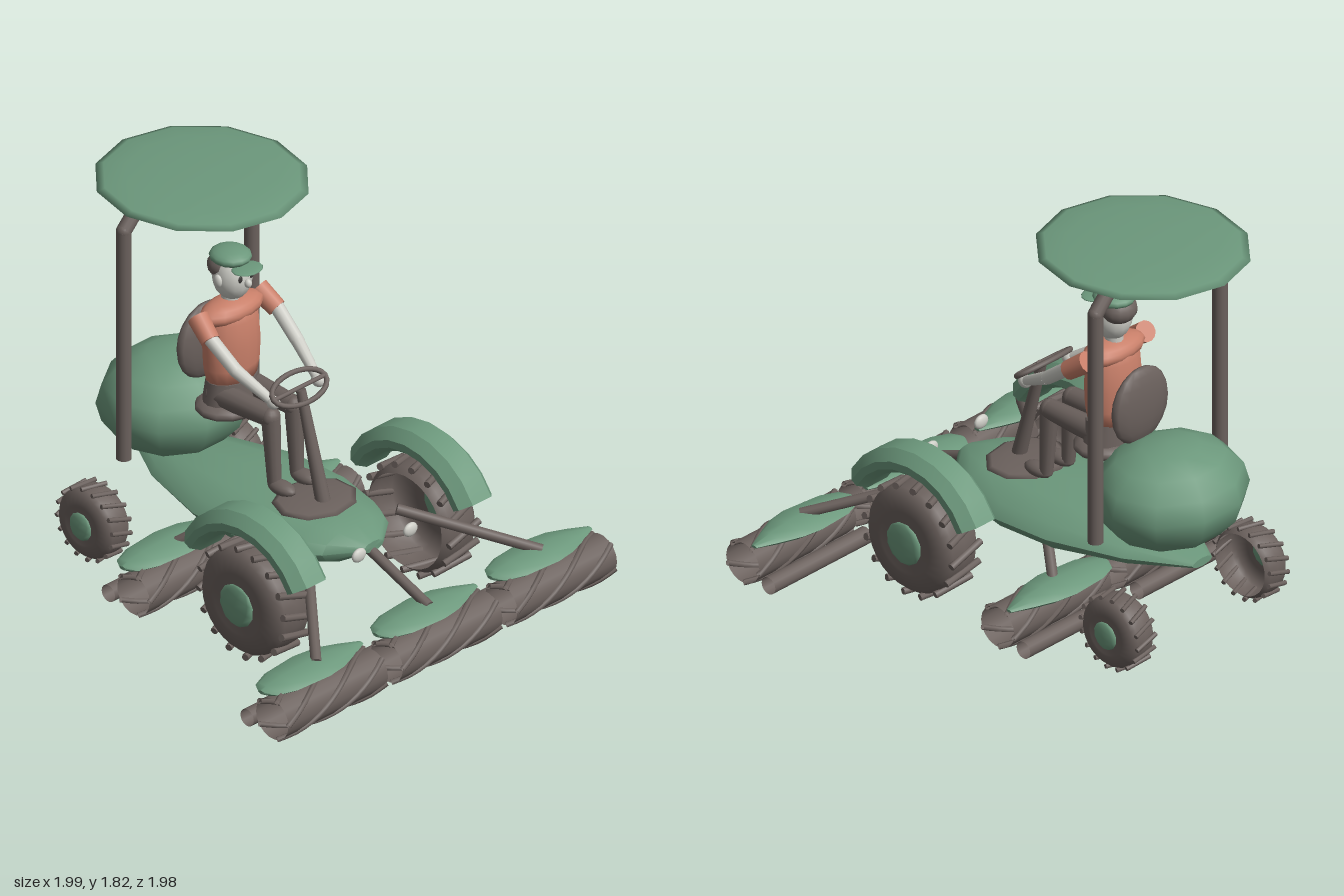
import * as THREE from 'three';
import { toCreasedNormals } from 'three/addons/utils/BufferGeometryUtils.js';

const paint = (name, color, side = THREE.FrontSide) => {
  const m = new THREE.MeshStandardMaterial({ color, side });
  m.name = name;
  return m;
};
const V = (x, y, z) => new THREE.Vector3(x, y, z);
const UP = V(0, 1, 0);

// Closed skin over rings of points, with a fan at each end
function skin(rings, crease = 0.8) {
  const n = rings[0].length, pos = [], idx = [];
  rings.flat().forEach(p => pos.push(p.x, p.y, p.z));
  for (let i = 0; i < rings.length - 1; i++) {
    for (let j = 0; j < n; j++) {
      const a = i * n + j, b = i * n + (j + 1) % n;
      idx.push(a, a + n, b, b, a + n, b + n);
    }
  }
  [0, rings.length - 1].forEach((r, end) => {
    const c = V(0, 0, 0);
    rings[r].forEach(p => c.addScaledVector(p, 1 / n));
    const k = pos.length / 3;
    pos.push(c.x, c.y, c.z);
    for (let j = 0; j < n; j++) {
      const a = r * n + j, b = r * n + (j + 1) % n;
      idx.push(k, ...(end ? [b, a] : [a, b]));
    }
  });
  const g = new THREE.BufferGeometry();
  g.setAttribute('position', new THREE.Float32BufferAttribute(pos, 3));
  g.setIndex(idx);
  return toCreasedNormals(g, crease);
}

// Elliptical sections [z, centreY, halfWidth, halfHeight], front to back
const loft = (sections, n) => skin(sections.map(([z, cy, w, h]) =>
  Array.from({ length: n }, (_, j) => {
    const a = j / n * Math.PI * 2;
    return V(Math.cos(a) * w, cy + Math.sin(a) * h, z);
  })));

export function createModel() {
  const model = new THREE.Group();
  const green = paint('green paint', 0x6c987c);
  const dark = paint('dark brown grey', 0x6b615d);
  const darkOpen = paint('dark brown grey open', 0x6b615d, THREE.DoubleSide);
  const shirt = paint('shirt', 0xc87f69);
  const pale = paint('pale skin', 0xcdcdc6);
  const black = paint('eye black', 0x3a3836);

  const add = (name, geo, mat, parent = model) => {
    const m = new THREE.Mesh(geo, mat);
    m.name = name;
    parent.add(m);
    return m;
  };
  const group = (name, parent = model) => {
    const g = new THREE.Group();
    g.name = name;
    parent.add(g);
    return g;
  };
  const ball = (name, mat, c, r, parent = model, w = 14, h = 10) => {
    const m = add(name, new THREE.SphereGeometry(1, w, h), mat, parent);
    m.position.set(...c);
    m.scale.set(...r);
    return m;
  };
  const limb = (name, mat, a, b, r0, r1 = r0, parent = model) => {
    const p = V(...a), d = V(...b).sub(p), len = d.length();
    const m = add(name, new THREE.CylinderGeometry(r1, r0, len, 12), mat, parent);
    m.position.copy(p).addScaledVector(d, 0.5);
    m.quaternion.setFromUnitVectors(UP, d.normalize());
    return m;
  };

  // Body hull, engine hood and floor
  add('hull', loft([[0.51, 0.41, 0.06, 0.025], [0.4, 0.4, 0.2, 0.08], [0.28, 0.39, 0.27, 0.1],
    [0.05, 0.39, 0.33, 0.11], [-0.25, 0.395, 0.32, 0.11], [-0.6, 0.4, 0.22, 0.07],
    [-0.86, 0.395, 0.06, 0.02]], 12), green);
  ball('engineHood', green, [0, 0.675, -0.675], [0.36, 0.235, 0.32], model, 10, 8);
  ball('floorPlate', dark, [0, 0.5, 0.16], [0.2, 0.022, 0.17], model, 9, 6);
  for (const s of [-1, 1]) ball('headlight', pale, [s * 0.155, 0.455, 0.575], [0.04, 0.032, 0.018]);

  // Canopy on a bent tube frame
  ball('canopy', green, [0, 1.793, -0.515], [0.455, 0.036, 0.475], model, 12, 8);
  const frame = [[-0.385, 0.55], [-0.385, 1.66], [-0.31, 1.735], [0.31, 1.735], [0.385, 1.66], [0.385, 0.55]];
  const frameGroup = group('canopyFrame');
  frame.forEach(([x, y], i) => {
    if (!i) return;
    limb('frameTube', dark, [frame[i - 1][0], frame[i - 1][1], -0.6], [x, y, -0.6], 0.034, 0.034, frameGroup);
    if (i < 5) ball('frameBend', dark, [x, y, -0.6], [0.034, 0.034, 0.034], frameGroup);
  });

  // Wheels: cup-shaped tyre open on the inside, tread bars and a hub
  function wheel(name, side, x, y, z, r, w, dome) {
    const holder = group(name);
    holder.scale.x = side;
    const g = group('wheelParts', holder);
    g.position.set(x, y, z);
    const profile = [[0.88, -w], [0.98, -w * 0.7], [1, 0], [0.98, w * 0.7], [0.88, w],
      [0.6, w + dome * 0.5], [0.55, w + dome * 0.4], [0.01, w + dome * 0.6]]
      .map(([pr, px]) => new THREE.Vector2(pr * r, px));
    const tyre = new THREE.LatheGeometry(profile, 28).rotateZ(-Math.PI / 2);
    add('tyre', toCreasedNormals(tyre, 0.7), darkOpen, g);
    ball('hub', green, [w + dome * 0.5, 0, 0], [dome * 0.6, r * 0.4, r * 0.4], g, 8, 6).rotation.x = 0.3;
    for (let k = 0; k < 16; k++) {
      const spoke = group('treadSpoke', g);
      spoke.rotation.x = k / 16 * Math.PI * 2;
      const bar = add('treadBar', new THREE.CylinderGeometry(r * 0.065, r * 0.065, w * 1.9, 8), dark, spoke);
      bar.rotation.set(0, 0.3, Math.PI / 2, 'YXZ');
      bar.position.y = r * 1.01;
    }
  }

  // Fender section as [x, radius], swept round the front wheel
  const fenderSection = [[0.1, 0.33], [0.1, 0.365], [0.055, 0.412], [-0.055, 0.412],
    [-0.1, 0.365], [-0.1, 0.33], [-0.06, 0.3], [0.06, 0.3]];
  for (const s of [-1, 1]) {
    wheel('frontWheel', s, 0.5, 0.285, 0.3, 0.25, 0.1, 0.03);
    wheel('rearWheel', s, 0.41, 0.195, -0.755, 0.163, 0.065, 0.03);
    const rings = Array.from({ length: 9 }, (_, i) => {
      const t = 0.5 + i / 8 * 2.17;
      return fenderSection.map(([x, r]) => V(x, 0.29 + r * Math.sin(t), 0.3 + r * Math.cos(t)));
    });
    add('fender', skin(rings, 0.7), green).position.x = s * 0.5;
  }

  // Cutting units: bladed reel, small roller, cover
  const tubeWithWeb = (name, r, y, z, parent) => {
    const t = add(name, new THREE.CylinderGeometry(r, r, 0.6, 18, 1, true).rotateZ(Math.PI / 2), darkOpen, parent);
    t.position.set(0, y, z);
    add('innerWeb', new THREE.CircleGeometry(r, 18).rotateY(Math.PI / 2), darkOpen, t);
  };
  const coverGeo = loft([[0.3, 0, 0.015, 0.006], [0.2, 0.003, 0.06, 0.022], [0.1, 0.006, 0.1, 0.032],
    [0, 0.006, 0.115, 0.036], [-0.18, 0.003, 0.1, 0.03], [-0.27, 0, 0.065, 0.02],
    [-0.3, 0, 0.02, 0.008]], 8).rotateY(Math.PI / 2);
  function cuttingUnit(x, z) {
    const g = group('cuttingUnit');
    g.position.set(x, 0, z);
    tubeWithWeb('reel', 0.097, 0.12, 0, g);
    tubeWithWeb('roller', 0.04, 0.065, -0.15, g);
    for (let k = 0; k < 5; k++) {
      const pts = Array.from({ length: 9 }, (_, i) => {
        const a = k / 5 * Math.PI * 2 + i / 8 * 3.4;
        return V(-0.3 + i * 0.075, 0.12 + 0.095 * Math.sin(a), 0.095 * Math.cos(a));
      });
      add('reelBlade', new THREE.TubeGeometry(new THREE.CatmullRomCurve3(pts), 16, 0.013, 6), darkOpen, g);
    }
    add('reelCover', coverGeo, green, g).position.set(0, 0.222, -0.065);
  }
  cuttingUnit(0, 0.885);
  limb('frontArm', dark, [0, 0.25, 0.84], [0, 0.4, 0.45], 0.024);
  for (const s of [-1, 1]) {
    cuttingUnit(s * 0.69, 0.885);
    cuttingUnit(s * 0.35, -0.28);
    limb('frontArm', dark, [s * 0.68, 0.25, 0.84], [s * 0.27, 0.43, 0.38], 0.024);
    limb('rearArm', dark, [s * 0.35, 0.24, -0.32], [s * 0.23, 0.36, -0.17], 0.024);
  }

  // Steering column and oval wheel
  limb('steeringColumn', dark, [0, 0.5, 0.21], [0, 1.0, 0.075], 0.034, 0.022);
  const rim = Array.from({ length: 16 }, (_, i) => {
    const a = i / 16 * Math.PI * 2;
    return V(0.155 * Math.cos(a), 1.006 - 0.043 * Math.sin(a), 0.066 + 0.06 * Math.sin(a));
  });
  add('steeringWheel', new THREE.TubeGeometry(new THREE.CatmullRomCurve3(rim, true), 32, 0.012, 8, true), dark);
  limb('steeringSpoke', dark, [-0.15, 1.006, 0.066], [0.15, 1.006, 0.066], 0.01);

  // Seat
  ball('seatCushion', dark, [0, 0.785, -0.33], [0.185, 0.05, 0.145]);
  ball('seatBack', dark, [0, 1.02, -0.495], [0.17, 0.18, 0.048]);

  // Driver's trunk
  const driver = group('driver');
  const trunk = [[0, 0.905], [0.125, 0.905], [0.14, 0.98], [0.145, 1.08], [0.135, 1.2], [0.09, 1.27], [0, 1.28]];
  const torso = add('torso', new THREE.LatheGeometry(trunk.map(p => new THREE.Vector2(...p)), 16), shirt, driver);
  torso.scale.z = 0.72;
  torso.position.z = -0.34;
  ball('shoulders', shirt, [0, 1.235, -0.34], [0.175, 0.058, 0.09], driver);
  const hips = add('hips', new THREE.CylinderGeometry(0.13, 0.15, 0.12, 16), dark, driver);
  hips.scale.z = 0.72;
  hips.position.set(0, 0.855, -0.335);

  // Arms and legs
  for (const s of [-1, 1]) {
    limb('sleeve', shirt, [s * 0.18, 1.25, -0.36], [s * 0.2, 1.18, -0.265], 0.048, 0.043, driver);
    limb('upperArm', pale, [s * 0.2, 1.2, -0.28], [s * 0.185, 1.085, -0.13], 0.032, 0.03, driver);
    ball('elbow', pale, [s * 0.185, 1.085, -0.13], [0.03, 0.03, 0.03], driver);
    limb('forearm', pale, [s * 0.185, 1.085, -0.13], [s * 0.14, 0.99, 0.03], 0.03, 0.022, driver);
    ball('hand', pale, [s * 0.135, 0.98, 0.045], [0.028, 0.03, 0.033], driver);
    limb('thigh', dark, [s * 0.08, 0.85, -0.36], [s * 0.07, 0.85, -0.04], 0.058, 0.045, driver);
    ball('knee', dark, [s * 0.07, 0.85, -0.035], [0.045, 0.045, 0.04], driver);
    limb('shin', dark, [s * 0.07, 0.85, -0.035], [s * 0.068, 0.53, -0.015], 0.042, 0.03, driver);
    ball('shoe', dark, [s * 0.068, 0.53, 0.03], [0.042, 0.032, 0.075], driver);
  }

  // Head and cap
  limb('neck', pale, [0, 1.25, -0.345], [0, 1.33, -0.345], 0.042, 0.042, driver);
  ball('face', pale, [0, 1.395, -0.335], [0.085, 0.108, 0.09], driver);
  ball('nose', pale, [0, 1.392, -0.24], [0.016, 0.02, 0.018], driver);
  ball('hair', dark, [0, 1.44, -0.375], [0.085, 0.062, 0.075], driver);
  for (const s of [-1, 1]) {
    ball('ear', pale, [s * 0.086, 1.4, -0.335], [0.015, 0.03, 0.022], driver);
    ball('eye', black, [s * 0.033, 1.417, -0.253], [0.012, 0.016, 0.005], driver);
  }
  ball('capCrown', green, [0, 1.49, -0.345], [0.09, 0.038, 0.095], driver);
  ball('capVisor', green, [0, 1.462, -0.245], [0.075, 0.009, 0.06], driver);
  return model;
}
